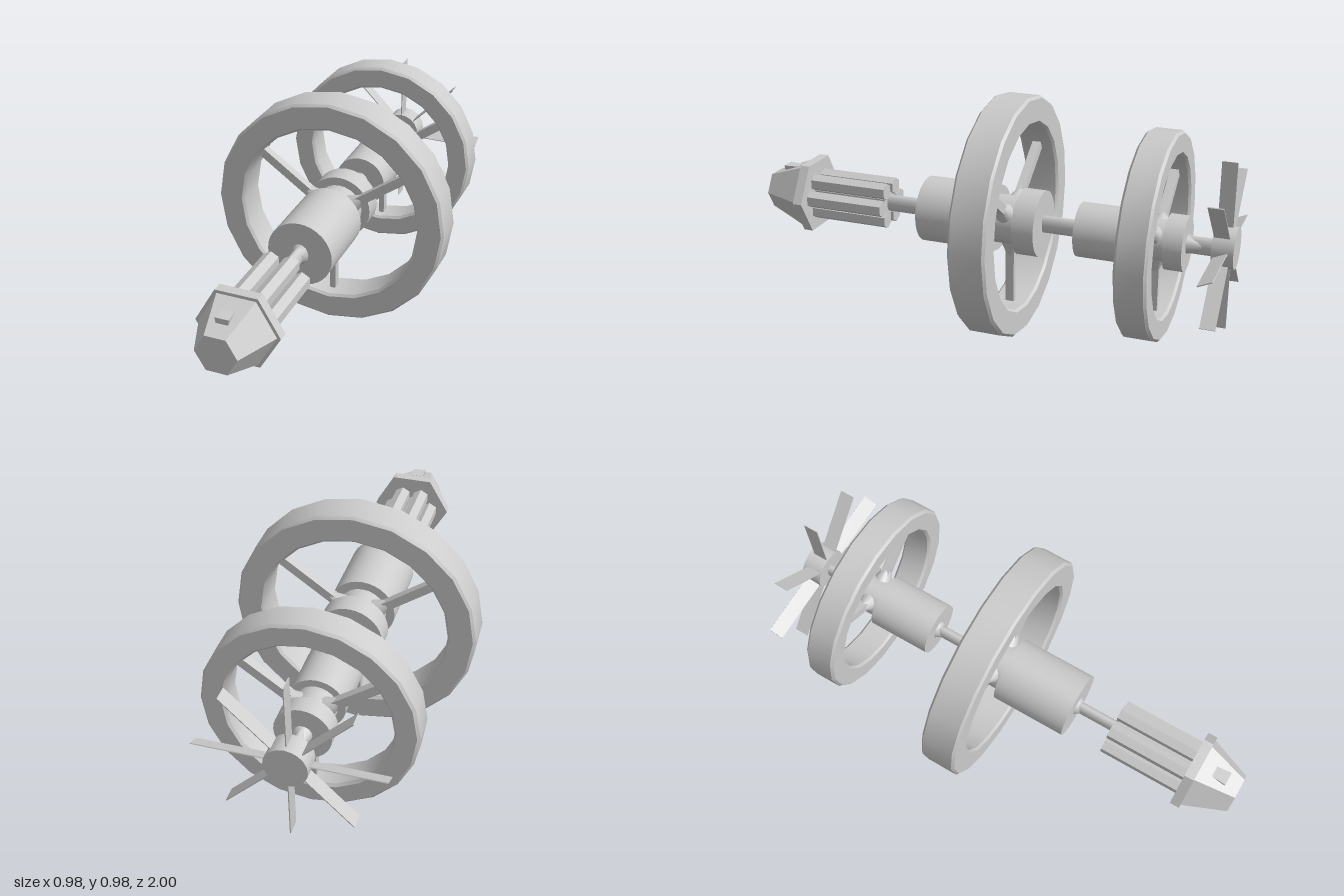
import * as THREE from 'three';
import { toCreasedNormals } from 'three/addons/utils/BufferGeometryUtils.js';

const AXIS = 0.473; // height of the central shaft
const WHEEL = 0.493; // height of the wheel centres

export function createModel() {
  const root = new THREE.Group();
  const grey = new THREE.MeshStandardMaterial({ color: 0xcccccc });
  const flat = new THREE.MeshStandardMaterial({ color: 0xcccccc, flatShading: true });

  const add = (name, geo, mat = grey, parent = root) => {
    const mesh = new THREE.Mesh(geo, mat);
    mesh.name = name;
    parent.add(mesh);
    return mesh;
  };

  // Cylinder along z between two depths; r0 is the front radius
  const bar = (name, zFront, zBack, rFront, rBack, sides, mat = grey, x = 0, y = AXIS) => {
    const geo = new THREE.CylinderGeometry(rBack, rFront, zFront - zBack, sides);
    geo.rotateX(-Math.PI / 2);
    const mesh = add(name, geo, mat);
    mesh.position.set(x, y, (zFront + zBack) / 2);
    return mesh;
  };

  // Faceted ring with slightly bevelled edges
  const ring = (name, outer, inner, zFront, zBack) => {
    const h = (zFront - zBack) / 2;
    const b = 0.01;
    const profile = [
      [inner + b, -h], [outer - b, -h], [outer, -h + b], [outer, h - b],
      [outer - b, h], [inner + b, h], [inner, h - b], [inner, -h + b], [inner + b, -h],
    ].map(([r, y]) => new THREE.Vector2(r, y));
    const geo = new THREE.LatheGeometry(profile, 20);
    geo.rotateX(Math.PI / 2);
    const mesh = add(name, toCreasedNormals(geo, 0.5));
    mesh.position.set(0, WHEEL, (zFront + zBack) / 2);
  };

  // Three spokes with flared sockets at the hub
  const spokes = (name, z, hubR, end) => {
    [35.5, 144.5, 270].forEach((deg) => {
      const g = new THREE.Group();
      g.name = name;
      g.position.set(0, AXIS, z);
      g.rotation.z = THREE.MathUtils.degToRad(deg - 90);
      const start = hubR * 0.5;
      const width = deg === 270 ? 0.024 : 0.036;
      const length = (deg === 270 ? end - 0.02 : end) - start;
      add(name + 'Bar', new THREE.BoxGeometry(width, length, 0.036), grey, g).position.y = start + length / 2;
      add(name + 'Socket', new THREE.CylinderGeometry(0.016, 0.045, 0.07, 12), grey, g).position.y = hubR - 0.018;
      root.add(g);
    });
  };

  // Hub made of two drums around a narrower core
  const hub = (name, zFront, zBack, grooveFront, grooveBack, r) => {
    bar(name + 'FrontDrum', zFront, grooveFront, r, r, 32);
    bar(name + 'RearDrum', grooveBack, zBack, r, r, 32);
    bar(name + 'Core', grooveFront + 0.01, grooveBack - 0.01, r * 0.74, r * 0.74, 24);
    bar(name + 'Collar', zFront + 0.02, zFront - 0.005, 0.023, 0.04, 16).scale.y = 1.2;
  };

  // Nose: hexagonal cone, flange and small window block
  const hexTurn = Math.PI / 6;
  const hex = (name, zFront, zBack, rFront, rBack) => {
    const geo = new THREE.CylinderGeometry(rBack, rFront, zFront - zBack, 6);
    geo.rotateY(hexTurn);
    geo.rotateX(-Math.PI / 2);
    add(name, geo, flat).position.set(0, AXIS, (zFront + zBack) / 2);
  };
  hex('noseCone', 1, 0.825, 0.083, 0.155);
  hex('noseFlange', 0.83, 0.79, 0.167, 0.167);

  const block = new THREE.BoxGeometry(0.056, 0.06, 0.06);
  const p = block.attributes.position;
  for (let i = 0; i < p.count; i++) {
    if (p.getY(i) < 0) p.setX(i, p.getX(i) * 0.6);
    else if (p.getZ(i) < 0) p.setX(i, p.getX(i) * 0.8);
  }
  add('noseWindow', block, flat).position.set(0, 0.557, 0.913);

  // Bundle of six rods behind the nose
  bar('rodCore', 0.8, 0.46, 0.055, 0.055, 6, flat);
  for (let i = 0; i < 6; i++) {
    const a = (i * Math.PI) / 3;
    bar('noseRod', 0.8, 0.45, 0.036, 0.036, 6, flat, Math.cos(a) * 0.084, AXIS + Math.sin(a) * 0.072);
  }

  // Shaft sections, taller than wide
  [[0.47, 0.26], [-0.21, -0.39], [-0.79, -0.93]].forEach(([a, b]) => {
    bar('shaft', a, b, 0.022, 0.022, 16).scale.y = 1.65;
  });
  bar('tailCollar', -0.8, -0.87, 0.04, 0.022, 16);

  // Large front wheel and smaller rear wheel
  ring('frontWheel', 0.492, 0.38, -0.01, -0.16);
  hub('frontHub', 0.28, -0.225, -0.035, -0.135, 0.135);
  spokes('frontSpoke', -0.085, 0.135, 0.39);

  ring('rearWheel', 0.414, 0.32, -0.625, -0.75);
  hub('rearHub', -0.38, -0.81, -0.64, -0.735, 0.11);
  spokes('rearSpoke', -0.688, 0.11, 0.335);

  // Tail fan: hub with eight thin blades set edge-on
  bar('fanHub', -0.915, -1, 0.083, 0.083, 20, grey, 0, 0.482);
  for (let i = 0; i < 8; i++) {
    const level = i % 4 === 0;
    const g = new THREE.Group();
    g.name = 'fanBlade';
    g.position.set(0, level ? 0.475 : 0.482, -0.95);
    g.rotation.z = (i * Math.PI) / 4;
    const length = level ? 0.31 : 0.29;
    const blade = add('blade', new THREE.BoxGeometry(length, 0.004, 0.06), grey, g);
    blade.position.x = 0.05 + length / 2;
    // The level pair is pitched, front edge down
    if (level) blade.rotation.x = i === 0 ? 0.42 : -0.42;
    root.add(g);
  }

  return root;
}
